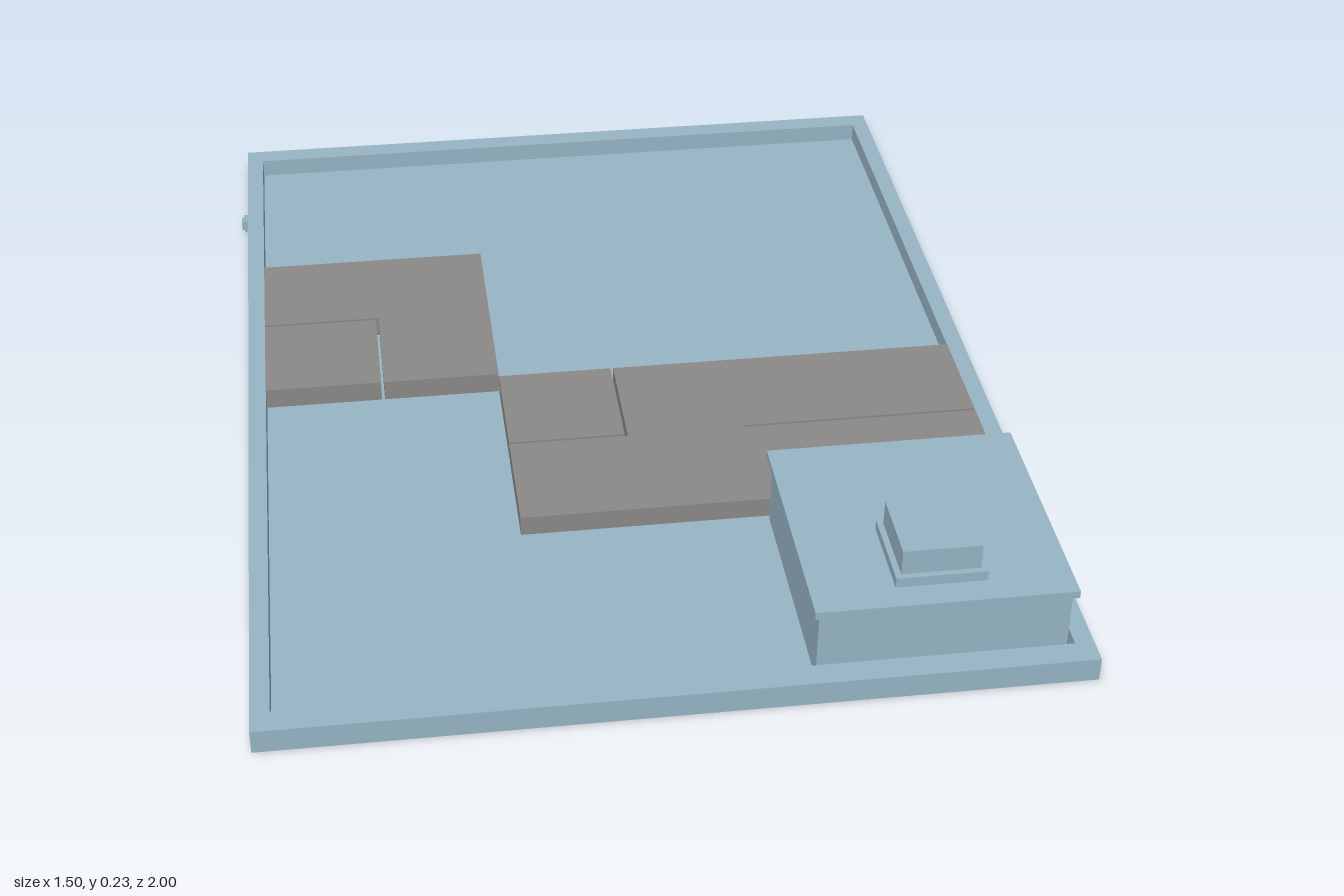
import * as THREE from 'three';

const blue = new THREE.MeshStandardMaterial({ color: 0x98b5c5, flatShading: true });
const grey = new THREE.MeshStandardMaterial({ color: 0x8c8a88, flatShading: true });

// Box given by its limits on each axis
function block(name, [x0, x1], [y0, y1], [z0, z1], material = blue) {
  const mesh = new THREE.Mesh(new THREE.BoxGeometry(x1 - x0, y1 - y0, z1 - z0), material);
  mesh.position.set((x0 + x1) / 2, (y0 + y1) / 2, (z0 + z1) / 2);
  mesh.name = name;
  return mesh;
}

const outline = (Type, points) => new Type(points.map(([x, z]) => new THREE.Vector2(x, -z)));
const corners = (x0, x1, z0, z1) => [[x0, z1], [x1, z1], [x1, z0], [x0, z0]];

// Plan shape in x and z, raised from y0 to y1
function slab(name, points, y0, y1, material, hole) {
  const shape = outline(THREE.Shape, points);
  if (hole) shape.holes.push(outline(THREE.Path, hole));
  const geometry = new THREE.ExtrudeGeometry(shape, { depth: y1 - y0, bevelEnabled: false });
  geometry.rotateX(-Math.PI / 2).translate(0, y0, 0);
  const mesh = new THREE.Mesh(geometry, material);
  mesh.name = name;
  return mesh;
}

export function createModel() {
  const model = new THREE.Group();
  model.name = 'roomTray';

  // Shallow tray
  const tray = new THREE.Group();
  tray.name = 'tray';
  tray.add(
    block('trayFloor', [-0.72, 0.73], [0, 0.008], [-0.96, 0.97]),
    slab('trayRim', corners(-0.735, 0.75, -0.985, 1), 0, 0.047, blue, corners(-0.7, 0.715, -0.94, 0.953))
  );

  // Small stepped pegs on the right and back edges
  tray.add(
    block('sidePeg', [-0.745, -0.73], [0.01, 0.038], [-0.715, -0.685]),
    block('sidePegTip', [-0.75, -0.744], [0.014, 0.034], [-0.711, -0.689]),
    block('backPeg', [0.465, 0.495], [0.01, 0.038], [-0.995, -0.98]),
    block('backPegTip', [0.469, 0.491], [0.014, 0.034], [-1, -0.994])
  );
  model.add(tray);

  // Grey tiles, with narrow seams between the pieces
  const s = 0.003;
  const tiles = new THREE.Group();
  tiles.name = 'floorTiles';
  tiles.add(
    slab('cornerTile', corners(-0.7, -0.463 - s, -0.23 + s, 0.005), 0.004, 0.051, grey),
    slab('angledTile', [
      [-0.463 + s, 0.005], [-0.225, 0.005], [-0.225, -0.463], [-0.7, -0.463],
      [-0.7, -0.23 - s], [-0.463 + s, -0.23 - s]
    ], 0.004, 0.051, grey),
    slab('squareTile', corners(-0.225, 0.008 - s, 0.01, 0.243 - s), 0.004, 0.049, grey),
    slab('longTile', [
      [-0.225, 0.48], [0.715, 0.48], [0.715, 0.243 + s], [0.243, 0.243 + s],
      [0.243, 0.243 - s], [0.715, 0.243 - s], [0.715, 0.01], [0.008 + s, 0.01],
      [0.008 + s, 0.243 + s], [-0.225, 0.243 + s]
    ], 0.004, 0.049, grey)
  );
  model.add(tiles);

  // Raised block with an overhanging lid and a small cap
  const house = new THREE.Group();
  house.name = 'house';
  house.add(
    block('houseBody', [0.252, 0.704], [0.006, 0.15], [0.492, 0.942]),
    block('houseRoof', [0.243, 0.713], [0.15, 0.165], [0.481, 0.951]),
    block('capBase', [0.395, 0.56], [0.165, 0.185], [0.736, 0.901]),
    block('cap', [0.406, 0.549], [0.185, 0.235], [0.747, 0.89])
  );
  model.add(house);
  return model;
}
